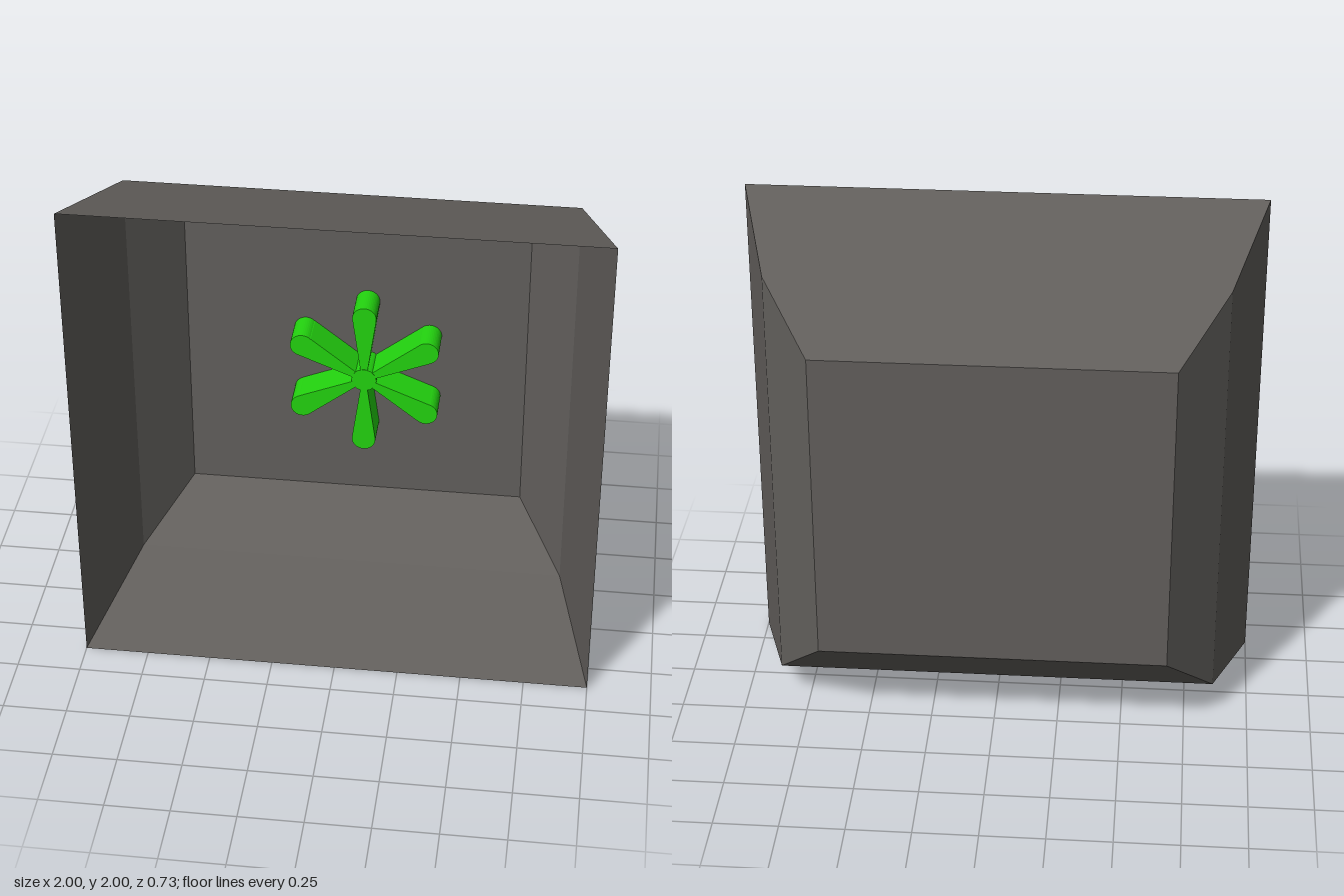
import * as THREE from 'three';

const shellGrey = new THREE.MeshStandardMaterial({ color: 0x625f5c, side: THREE.DoubleSide });
shellGrey.name = 'shell grey';
const leafGreen = new THREE.MeshStandardMaterial({ color: 0x23d40f });
leafGreen.name = 'bright green';

// Four corners of a rectangular section, counter-clockwise from the front
const ring = (hx, hy, z) => [[-hx, 1 - hy, z], [hx, 1 - hy, z], [hx, 1 + hy, z], [-hx, 1 + hy, z]];

// Flat-faced quads, each given as four corners
function quads(list) {
  const points = list.flatMap(([a, b, c, d]) => [a, b, c, a, c, d]).flat();
  const geometry = new THREE.BufferGeometry();
  geometry.setAttribute('position', new THREE.Float32BufferAttribute(points, 3));
  geometry.computeVertexNormals();
  return geometry;
}

// Sloping walls joining a front ring to a back ring, facing outwards
function walls(front, back) {
  return quads(front.map((p, i) => {
    const j = (i + 1) % 4;
    return [p, back[i], back[j], front[j]];
  }));
}

// Teardrop petal pointing up from the origin
function petalShape() {
  const shape = new THREE.Shape();
  shape.moveTo(-0.012, 0.03);
  shape.lineTo(0.012, 0.03);
  shape.lineTo(0.046, 0.27);
  shape.absarc(0, 0.284, 0.047, -0.25, Math.PI + 0.25, false);
  shape.closePath();
  return shape;
}

export function createModel() {
  const model = new THREE.Group();
  const add = (parent, name, geometry, material) => {
    const mesh = new THREE.Mesh(geometry, material);
    mesh.name = name;
    parent.add(mesh);
    return mesh;
  };

  // Open tray standing on edge
  const rim = ring(1, 1, 0.367);
  const waist = ring(0.86, 0.86, -0.15);
  const rear = ring(0.675, 0.635, -0.367);
  add(model, 'outerWalls', walls(rim, waist), shellGrey);
  add(model, 'innerWalls', walls(waist, rear), shellGrey);
  add(model, 'backPanel', quads([[...rear].reverse()]), shellGrey);

  // Six-petalled rosette on the back panel
  const rosette = new THREE.Group();
  rosette.name = 'rosette';
  rosette.position.set(0.045, 0.98, -0.366);
  const petal = new THREE.ExtrudeGeometry(petalShape(), { depth: 0.136, bevelEnabled: false, curveSegments: 12 });
  for (let i = 0; i < 6; i++) {
    add(rosette, 'petal', petal, leafGreen).rotation.z = i * Math.PI / 3;
  }
  const hub = new THREE.CylinderGeometry(0.05, 0.05, 0.138, 12).rotateX(Math.PI / 2);
  add(rosette, 'hub', hub, leafGreen).position.z = 0.069;
  model.add(rosette);

  return model;
}
